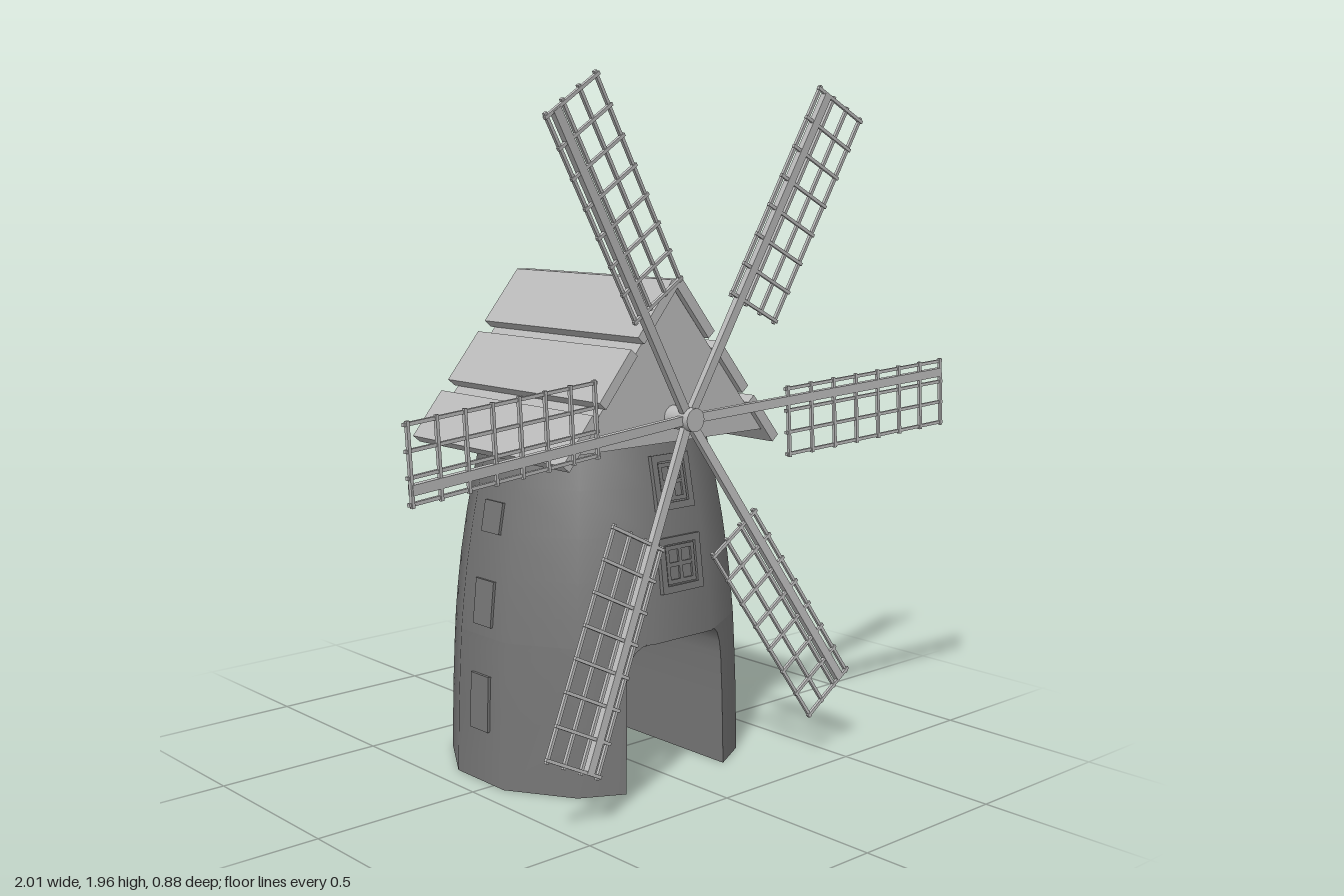
import * as THREE from 'three';
import { toCreasedNormals } from 'three/addons/utils/BufferGeometryUtils.js';

const wallMat = new THREE.MeshStandardMaterial({ color: 0x767676 });
const timberMat = new THREE.MeshStandardMaterial({ color: 0xbababa });
const SIDES = 12, CENTRE_Z = -0.06, SQUASH = 0.93, ARCH_Y = 0.42;
// Tower half-width by height
const profile = [[0, 0.427], [0.25, 0.421], [0.42, 0.412], [0.5, 0.405], [0.6, 0.394], [0.72, 0.376], [0.85, 0.352], [0.99, 0.32]];

function widthAt(y) {
  const i = Math.max(1, profile.findIndex((p) => p[0] >= y));
  const [a, b] = [profile[i - 1], profile[i]];
  return THREE.MathUtils.mapLinear(y, a[0], b[0], a[1], b[1]);
}

// Lean of the wall over a height h around y
const wallLean = (y, h) => Math.atan((widthAt(y + h / 2) - widthAt(y - h / 2)) / h);

function add(parent, name, material, geometry, x = 0, y = 0, z = 0) {
  const mesh = new THREE.Mesh(geometry, material);
  mesh.name = name;
  mesh.position.set(x, y, z);
  parent.add(mesh);
  return mesh;
}

const box = (parent, name, material, w, h, d, x, y, z) =>
  add(parent, name, material, new THREE.BoxGeometry(w, h, d), x, y, z);

function prism(points, depth) {
  const shape = new THREE.Shape(points.map((p) => new THREE.Vector2(...p)));
  return new THREE.ExtrudeGeometry(shape, { depth, bevelEnabled: false });
}

// Half of the tower foot beside the passage, lofted from closed sections
function jambGeometry() {
  const rows = [[0, 0.19], [0.2, 0.186], [0.33, 0.182], [0.37, 0.174], [0.4, 0.158], [0.415, 0.14], [ARCH_Y, 0.12]];
  const pos = [], idx = [], n = 6;
  for (const [y, t] of rows) {
    const w = widthAt(y), r = w / Math.cos(Math.PI / SIDES);
    const edge = w - 0.577 * Math.max(0, t - 0.268 * w);
    pos.push(t, y, edge * SQUASH);
    for (const deg of [45, 75, 105, 135]) {
      const a = THREE.MathUtils.degToRad(deg);
      pos.push(r * Math.sin(a), y, r * Math.cos(a) * SQUASH);
    }
    pos.push(t, y, -edge * SQUASH);
  }
  for (let j = 0; j < rows.length - 1; j++) {
    for (let i = 0; i < n; i++) {
      const a = j * n + i, b = j * n + (i + 1) % n;
      idx.push(a, b, b + n, a, b + n, a + n);
    }
  }
  for (let i = 1; i < n - 1; i++) idx.push(0, i + 1, i);
  const g = new THREE.BufferGeometry();
  g.setAttribute('position', new THREE.Float32BufferAttribute(pos, 3));
  g.setIndex(idx);
  return toCreasedNormals(g, 0.7);
}

function buildTower() {
  const tower = new THREE.Group();
  tower.name = 'tower';
  tower.position.z = CENTRE_Z;
  const k = 1 / Math.cos(Math.PI / SIDES);
  const pts = profile.filter((p) => p[0] >= ARCH_Y).map(([y, w]) => new THREE.Vector2(w * k, y));
  add(tower, 'upperWall', wallMat, new THREE.LatheGeometry(pts, SIDES, Math.PI / SIDES).scale(1, 1, SQUASH));
  const disc = (r) => new THREE.CircleGeometry(r * k, SIDES, Math.PI / SIDES);
  add(tower, 'passageCeiling', wallMat, disc(widthAt(ARCH_Y)).rotateX(Math.PI / 2).scale(1, 1, SQUASH), 0, ARCH_Y);
  add(tower, 'towerTop', wallMat, disc(0.32).rotateX(-Math.PI / 2).scale(1, 1, SQUASH), 0, 0.99);
  const jamb = jambGeometry();
  add(tower, 'leftFoot', wallMat, jamb);
  add(tower, 'rightFoot', wallMat, jamb).rotation.y = Math.PI;

  // Front windows: frame, sash, pane and glazing bars
  for (const [y, w, h] of [[0.857, 0.14, 0.155], [0.63, 0.155, 0.155]]) {
    const win = new THREE.Group();
    win.name = 'frontWindow';
    win.position.set(0, y, widthAt(y) * SQUASH);
    win.rotation.x = wallLean(y, h);
    for (const s of [-1, 1]) {
      box(win, 'frameSide', wallMat, 0.02, h, 0.024, s * (w / 2 - 0.01), 0, 0);
      box(win, 'frameRail', wallMat, w, 0.02, 0.024, 0, s * (h / 2 - 0.01), 0);
      box(win, 'sashSide', wallMat, 0.012, h - 0.05, 0.018, s * (w / 2 - 0.03), 0, 0);
      box(win, 'sashRail', wallMat, w - 0.05, 0.012, 0.018, 0, s * (h / 2 - 0.03), 0);
    }
    box(win, 'pane', wallMat, w - 0.02, h - 0.02, 0.006, 0, 0, 0);
    box(win, 'glazingBar', wallMat, 0.012, h - 0.05, 0.017, 0, 0, 0);
    box(win, 'glazingBar', wallMat, w - 0.05, 0.012, 0.017, 0, 0, 0);
    tower.add(win);
  }

  // Shutters up both sides
  for (const s of [-1, 1]) {
    for (const [y, h] of [[0.755, 0.09], [0.515, 0.13], [0.23, 0.16]]) {
      const shutter = box(tower, 'sideShutter', wallMat, 0.016, h, 0.08, s * widthAt(y), y, 0);
      shutter.rotation.z = -s * wallLean(y, h);
    }
  }
  return tower;
}

function buildRoof() {
  const roof = new THREE.Group();
  roof.name = 'roof';
  add(roof, 'gable', timberMat, prism([[-0.353, 0.97], [0.353, 0.97], [0, 1.393]], 0.65), 0, 0, -0.375);
  // Point at a distance down the slope and a depth below its face
  const onSlope = (d, depth) => [0.02 + 0.639 * d - 0.769 * depth, 1.42 - 0.769 * d - 0.639 * depth];
  const thick = 0.03;
  // Three boards a side with narrow gaps; the top pair meets at the ridge
  for (const [d0, d1] of [[0, 0.195], [0.234, 0.41], [0.449, 0.611]]) {
    const head = d0 === 0 ? [[0, 1.42], [0, 1.397]] : [onSlope(d0, thick)];
    const outline = [onSlope(d0, 0), ...head, onSlope(d1, thick), onSlope(d1, 0)];
    for (const s of [-1, 1]) {
      add(roof, 'roofBoard', timberMat, prism(outline.map(([x, y]) => [s * x, y]), 0.68), 0, 0, -0.39);
    }
  }
  return roof;
}

function buildSails() {
  const sails = new THREE.Group();
  sails.name = 'sails';
  sails.position.set(0, 1.04, 0.335);
  const hub = new THREE.CylinderGeometry(0.033, 0.033, 0.1, 16).rotateX(Math.PI / 2);
  add(sails, 'hub', timberMat, hub, 0, 0, -0.02);
  const bar = 0.009;
  for (let k = 0; k < 6; k++) {
    const spin = new THREE.Group();
    spin.name = 'sail';
    spin.rotation.z = THREE.MathUtils.degToRad(3.5 + 60 * k);
    // Sails lean forward towards their tips
    const blade = new THREE.Group();
    blade.name = 'sailFrame';
    blade.rotation.y = -0.093;
    box(blade, 'arm', timberMat, 0.99, 0.026, 0.018, 0.495, 0, 0);
    for (let i = 0; i < 4; i++) box(blade, 'rail', timberMat, 0.645, bar, bar, 0.6775, 0.034 - i * 0.0635, 0);
    for (let i = 0; i < 8; i++) box(blade, 'rung', timberMat, bar, 0.208, bar, 0.365 + i * 0.0893, -0.061, 0.003);
    spin.add(blade);
    sails.add(spin);
  }
  return sails;
}

export function createModel() {
  const model = new THREE.Group();
  model.name = 'windmill';
  model.add(buildTower(), buildRoof(), buildSails());
  return model;
}
